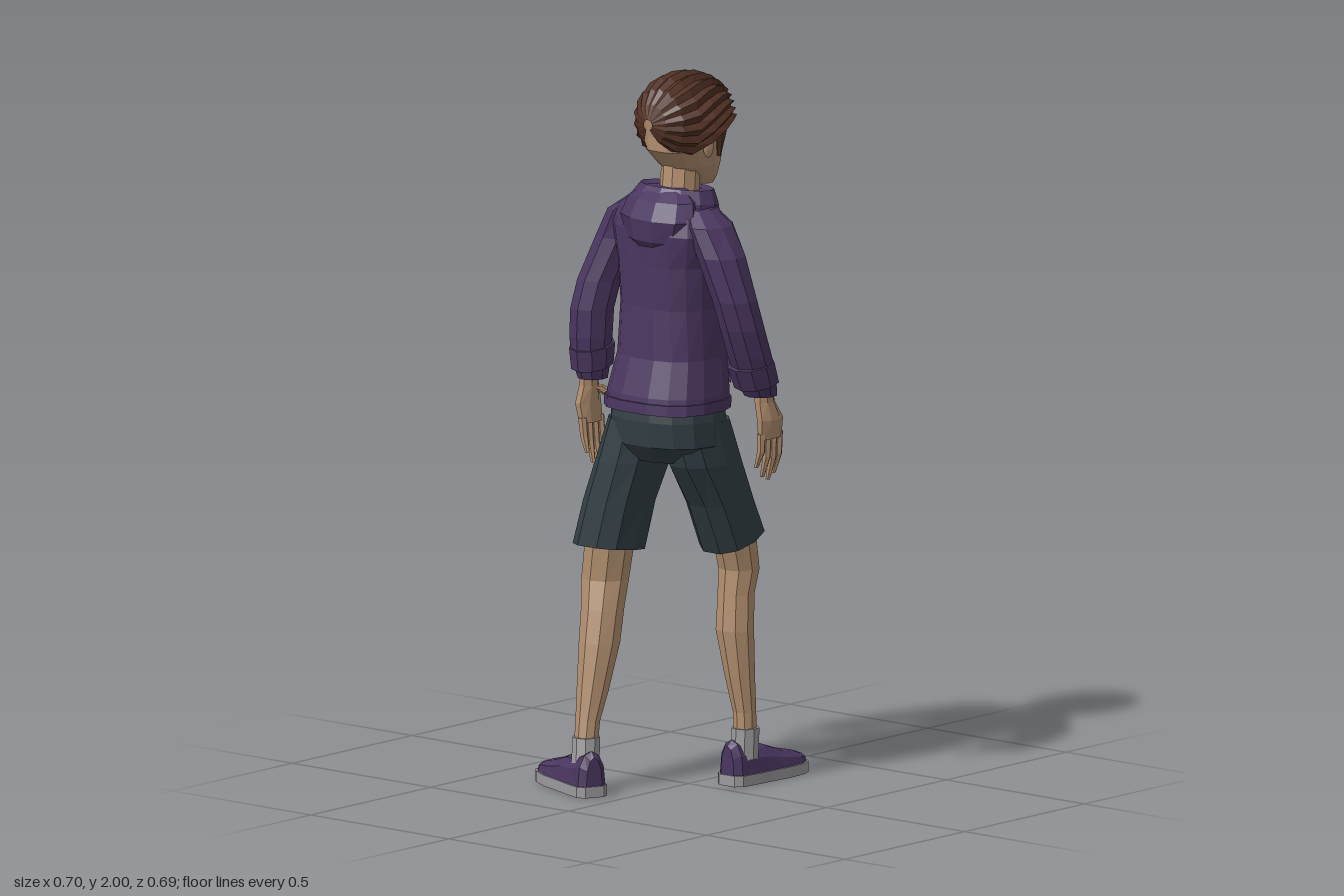
import * as THREE from 'three';

const mat = (name, color, side = THREE.FrontSide) => {
  const m = new THREE.MeshStandardMaterial({ color, side });
  m.name = name;
  return m;
};

// Faceted skin over a list of cross-sections (arrays of [x, y, z])
function skin(sections, closed = true, caps = true) {
  const pos = [];
  const tri = (a, b, c) => pos.push(...a, ...b, ...c);
  const n = sections[0].length;
  const m = closed ? n : n - 1;
  for (let i = 0; i < sections.length - 1; i++) {
    for (let j = 0; j < m; j++) {
      const k = (j + 1) % n, s = sections[i], t = sections[i + 1];
      tri(s[j], t[j], s[k]);
      tri(s[k], t[j], t[k]);
    }
  }
  if (caps && closed) {
    [sections[0], sections[sections.length - 1]].forEach((s, end) => {
      const c = [0, 1, 2].map(a => s.reduce((sum, p) => sum + p[a], 0) / n);
      for (let j = 0; j < n; j++) {
        const k = (j + 1) % n;
        if (end) tri(c, s[k], s[j]); else tri(c, s[j], s[k]);
      }
    });
  }
  const g = new THREE.BufferGeometry();
  g.setAttribute('position', new THREE.Float32BufferAttribute(pos, 3));
  g.computeVertexNormals();
  return g;
}

// Stack of level rings: [x, y, z, rx, rz, yaw, slope]; arc < PI gives an open front panel
function loft(rings, { n = 10, p = 2, arc = Math.PI, caps = true } = {}) {
  const list = rings[0][1] > rings[rings.length - 1][1] ? [...rings].reverse() : rings;
  const whole = arc === Math.PI;
  const pw = v => Math.sign(v) * Math.abs(v) ** (2 / p);
  const sections = list.map(([x, y, z, rx, rz, yaw = 0, slope = 0]) =>
    Array.from({ length: n }, (_, j) => {
      const t = whole ? (j + 0.5) / n * Math.PI * 2 : -arc + 2 * arc * j / (n - 1);
      const a = rx * pw(Math.cos(t)), b = rz * pw(Math.sin(t));
      return [x + a * Math.cos(yaw) - b * Math.sin(yaw), y + slope * a, z + a * Math.sin(yaw) + b * Math.cos(yaw)];
    }));
  return skin(sections, whole, caps);
}

export function createModel() {
  const model = new THREE.Group();
  const purple = mat('purple cloth', 0x4a3660, THREE.DoubleSide);
  const slate = mat('slate cloth', 0x333f45, THREE.DoubleSide);
  const flesh = mat('skin', 0xb39070);
  const brown = mat('brown hair', 0x4f2f22, THREE.DoubleSide);
  const grey = mat('grey sock and sole', 0x9c9a9c);
  const dark = mat('dark eye', 0x2e1a16);
  const add = (name, geo, material, parent = model) => {
    const mesh = new THREE.Mesh(geo, material);
    mesh.name = name;
    parent.add(mesh);
    return mesh;
  };

  // Hooded top, turned slightly at the shoulders
  const torso = [
    [-0.105, 1.08, 0.015, 0.142, 0.168], [-0.1, 1.12, 0.015, 0.142, 0.165],
    [-0.085, 1.22, 0.015, 0.127, 0.148], [-0.08, 1.36, 0.015, 0.12, 0.148, 0.08],
    [-0.078, 1.48, 0.012, 0.122, 0.163, 0.14], [-0.085, 1.57, 0.01, 0.115, 0.19, 0.18],
    [-0.085, 1.62, 0.01, 0.1, 0.175, 0.18], [-0.08, 1.66, 0.015, 0.075, 0.11, 0.1],
  ];
  add('torso', loft(torso, { n: 16, p: 2.6 }), purple);
  add('hem band', loft([[-0.105, 1.075, 0.015, 0.147, 0.172], [-0.102, 1.105, 0.015, 0.148, 0.171]], { n: 16, p: 2.6 }), purple);
  const pocket = torso.slice(1, 3).map(([x, y, z, rx, rz]) => [x + 0.006, y + 0.015, z, rx, rz]);
  add('front pocket', loft(pocket, { n: 7, p: 2.6, arc: 0.8 }), purple);
  add('collar', loft([[-0.08, 1.6, 0.015, 0.11, 0.15, 0.1], [-0.08, 1.65, 0.018, 0.105, 0.138, 0.1, -0.1],
    [-0.07, 1.685, 0.02, 0.088, 0.115, 0.1, -0.1], [-0.06, 1.675, 0.02, 0.065, 0.085, 0.1, -0.1]], { n: 12 }), purple);
  add('hood', loft([[-0.13, 1.5, 0.025, 0.05, 0.05, 0.1], [-0.15, 1.55, 0.025, 0.068, 0.11, 0.1],
    [-0.15, 1.61, 0.025, 0.075, 0.135, 0.1], [-0.135, 1.66, 0.025, 0.065, 0.12, 0.1],
    [-0.12, 1.685, 0.025, 0.04, 0.08, 0.1]], { n: 10 }), purple);

  // Sleeves with cuffs
  const sleeves = {
    right: [[-0.1, 1.64, 0.13, 0.05, 0.04], [-0.11, 1.6, 0.175, 0.075, 0.055], [-0.11, 1.52, 0.215, 0.072, 0.065],
      [-0.1, 1.4, 0.255, 0.063, 0.062], [-0.08, 1.32, 0.265, 0.062, 0.062], [-0.05, 1.24, 0.265, 0.06, 0.063],
      [-0.025, 1.18, 0.265, 0.058, 0.058], [0.0, 1.12, 0.262, 0.046, 0.045]],
    left: [[-0.06, 1.64, -0.11, 0.05, 0.04], [-0.06, 1.6, -0.155, 0.075, 0.055], [-0.075, 1.52, -0.185, 0.07, 0.062],
      [-0.115, 1.4, -0.222, 0.063, 0.06], [-0.13, 1.32, -0.235, 0.062, 0.06], [-0.13, 1.24, -0.24, 0.06, 0.06],
      [-0.125, 1.18, -0.243, 0.056, 0.054], [-0.118, 1.12, -0.243, 0.044, 0.04]],
  };
  for (const [side, rings] of Object.entries(sleeves)) {
    add(side + ' sleeve', loft(rings, { n: 9 }), purple);
    const cuff = rings.slice(5, 7).map(([x, y, z, rx, rz]) => [x + 0.005, y - 0.025, z, rx + 0.004, rz + 0.004, 0, 0.2]);
    add(side + ' cuff', loft(cuff, { n: 9 }), purple);
  }

  // Hands: palm, four fingers and a thumb, hanging from the wrist
  function hand(name, x, z, out, lean) {
    const g = new THREE.Group();
    g.name = name;
    g.position.set(x, 1.12, z);
    model.add(g);
    add('palm', loft([[0, 0.03, 0, 0.03, 0.025], [0.004, -0.02, 0, 0.033, 0.024],
      [0.012 + lean, -0.07, 0.006 * out, 0.047, 0.024], [0.018 + lean, -0.125, 0, 0.044, 0.018]], { n: 8 }), flesh, g);
    for (let i = 0; i < 4; i++) {
      const fx = -0.018 + i * 0.024 + lean, len = [0.085, 0.115, 0.125, 0.11][i];
      add('finger', loft([[fx, -0.11, 0, 0.012, 0.014], [fx + 0.003, -0.12 - len * 0.5, -0.004 * out, 0.011, 0.012],
        [fx, -0.12 - len, -0.018 * out, 0.006, 0.007]], { n: 6 }), flesh, g);
    }
    add('thumb', loft([[0.025, -0.025, -0.01 * out, 0.022, 0.018], [0.06, -0.055, -0.03 * out, 0.02, 0.015],
      [0.087, -0.08, -0.043 * out, 0.017, 0.012], [0.103, -0.098, -0.047 * out, 0.008, 0.007]], { n: 6 }), flesh, g);
  }
  hand('right hand', 0.012, 0.262, 1, 0.008);
  hand('left hand', -0.125, -0.255, -1, -0.005);

  // Shorts
  add('shorts seat', loft([[-0.1, 1.14, 0.015, 0.125, 0.15], [-0.1, 1.05, 0.015, 0.137, 0.163],
    [-0.095, 0.98, 0.012, 0.135, 0.165], [-0.09, 0.93, 0.01, 0.1, 0.1]], { n: 14, p: 2.4 }), slate);
  add('right shorts leg', loft([[-0.085, 1.04, 0.095, 0.115, 0.08], [-0.045, 0.92, 0.1, 0.117, 0.083],
    [0.015, 0.8, 0.102, 0.1, 0.083], [0.065, 0.69, 0.102, 0.088, 0.084, 0, 0.35]], { n: 10, p: 2.3 }), slate);
  add('left shorts leg', loft([[-0.1, 1.04, -0.065, 0.12, 0.085], [-0.125, 0.92, -0.09, 0.112, 0.09],
    [-0.15, 0.8, -0.12, 0.1, 0.092], [-0.165, 0.67, -0.145, 0.096, 0.094, 0, -0.12]], { n: 10, p: 2.3 }), slate);

  // Bare legs and socks
  add('right leg', loft([[0.055, 0.76, 0.098, 0.065, 0.065], [0.085, 0.68, 0.095, 0.062, 0.06], [0.105, 0.6, 0.092, 0.056, 0.058],
    [0.095, 0.53, 0.09, 0.05, 0.052], [0.09, 0.43, 0.09, 0.051, 0.055], [0.1, 0.3, 0.1, 0.042, 0.042],
    [0.11, 0.2, 0.108, 0.033, 0.032], [0.112, 0.13, 0.11, 0.034, 0.03]], { n: 9 }), flesh);
  add('left leg', loft([[-0.16, 0.76, -0.13, 0.068, 0.068], [-0.162, 0.68, -0.145, 0.068, 0.07], [-0.163, 0.58, -0.16, 0.064, 0.068],
    [-0.185, 0.5, -0.15, 0.06, 0.06], [-0.203, 0.41, -0.145, 0.06, 0.056], [-0.235, 0.28, -0.142, 0.047, 0.043],
    [-0.258, 0.2, -0.14, 0.035, 0.034], [-0.27, 0.13, -0.137, 0.034, 0.032]], { n: 9 }), flesh);
  add('right sock', loft([[0.108, 0.07, 0.11, 0.04, 0.038], [0.112, 0.155, 0.11, 0.04, 0.038]], { n: 9 }), grey);
  add('left sock', loft([[-0.28, 0.07, -0.13, 0.04, 0.038], [-0.268, 0.155, -0.137, 0.04, 0.038]], { n: 9 }), grey);

  // Shoes, built along +x from the heel: [distance, half width, height above sole]
  const last = [[0, 0.024, 0.085], [0.018, 0.042, 0.1], [0.08, 0.048, 0.078], [0.13, 0.05, 0.074],
    [0.2, 0.055, 0.05], [0.26, 0.05, 0.036], [0.288, 0.038, 0.027], [0.3, 0.022, 0.014]];
  const upper = last.map(([s, w, h]) => Array.from({ length: 7 }, (_, i) => {
    const t = i / 6 * Math.PI;
    return [s, 0.026 + h * Math.sin(t) ** 0.8, w * Math.cos(t)];
  }));
  const sole = last.map(([s, w]) => [[0, 1], [0.03, 1], [0.03, -1], [0, -1]].map(([y, k]) => [s * 1.02 - 0.003, y, k * (w + 0.004)]));
  for (const [name, x, z, turn] of [['right shoe', 0.047, 0.1, 0], ['left shoe', -0.312, -0.07, 1.15]]) {
    const g = new THREE.Group();
    g.name = name;
    g.position.set(x, 0, z);
    g.rotation.y = turn;
    model.add(g);
    add('upper', skin(upper), purple, g);
    add('sole', skin(sole), grey, g);
  }

  // Neck and head
  add('neck', loft([[-0.065, 1.62, 0.02, 0.056, 0.056], [-0.05, 1.78, 0.02, 0.056, 0.052]], { n: 10 }), flesh);
  add('head', loft([[0.04, 1.677, 0.02, 0.024, 0.026], [0.018, 1.7, 0.02, 0.05, 0.046], [-0.018, 1.74, 0.02, 0.088, 0.07],
    [-0.042, 1.79, 0.02, 0.113, 0.086], [-0.045, 1.83, 0.02, 0.113, 0.09], [-0.055, 1.88, 0.02, 0.11, 0.092],
    [-0.055, 1.94, 0.02, 0.085, 0.07]], { n: 12, p: 2.6 }), flesh);
  add('nose', loft([[0.07, 1.755, 0.02, 0.02, 0.015], [0.066, 1.768, 0.02, 0.021, 0.012], [0.062, 1.825, 0.02, 0.009, 0.008]], { n: 4 }), flesh);
  add('mouth', new THREE.BoxGeometry(0.008, 0.005, 0.034), dark).position.set(0.067, 1.722, 0.02);
  for (const s of [-1, 1]) {
    const eye = add('eye', new THREE.BoxGeometry(0.009, 0.015, 0.03), dark);
    eye.position.set(0.06, 1.806, 0.02 + s * 0.045);
    eye.rotation.y = -0.55 * s;
    const brow = add('eyebrow', new THREE.BoxGeometry(0.009, 0.01, 0.042), brown);
    brow.position.set(0.062, 1.826, 0.02 + s * 0.045);
    brow.rotation.set(-0.12 * s, -0.55 * s, 0);
    add('ear', new THREE.SphereGeometry(1, 6, 5).scale(0.022, 0.032, 0.01).toNonIndexed(), flesh).position.set(-0.045, 1.8, 0.02 + s * 0.092);
    // Sideburn tapering downwards
    add('sideburn', loft([[0.008, 1.765, 0.02 + s * 0.084, 0.004, 0.006], [0.002, 1.86, 0.02 + s * 0.098, 0.026, 0.014]], { n: 5 }), brown);
  }

  // Hair: ridged strands swept from the back to a jagged fringe; [x, radius, reach around the head]
  const strands = 15, count = strands * 2 + 1;
  const hair = [[-0.192, 0.12, 2.7], [-0.178, 0.45, 2.65], [-0.145, 0.74, 2.6], [-0.1, 0.93, 2.5], [-0.05, 1, 2.15],
    [0, 0.97, 1.9], [0.045, 0.85, 1.75], [0.078, 0.64, 1.7], [0.082, 0.45, 1.75], [0.07, 0.05, 1.8]];
  add('hair', skin(hair.map(([x, r, reach], i) => Array.from({ length: count }, (_, j) => {
    const t = (j / (count - 1) * 2 - 1) * reach;
    const ridge = j % 2 ? 1 : 0.91;
    const jag = i === 7 || i === 8 ? (j % 2 ? 0.008 : -0.012) : 0;
    return [x + jag, 1.87 + 0.13 * r * ridge * Math.cos(t), 0.02 - 0.126 * r * ridge * Math.sin(t)];
  })), false), brown);

  return model;
}
